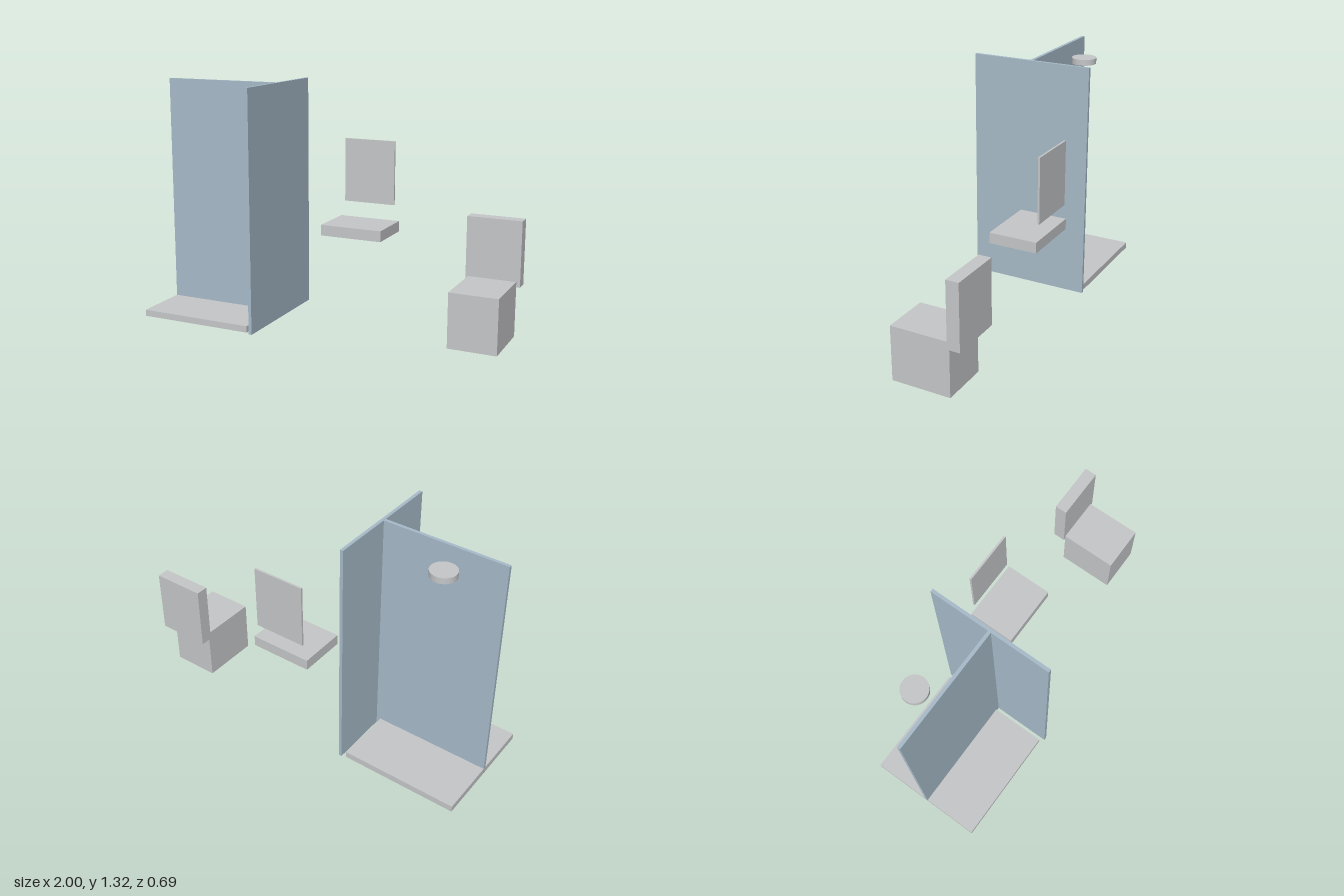
import * as THREE from 'three';

const ceramic = new THREE.MeshStandardMaterial({ name: 'light grey', color: 0xc6c7c9 });
const glass = new THREE.MeshStandardMaterial({ name: 'pale blue', color: 0xa7bbc9 });

// Box given by its lower and upper corner
function box(name, material, [x0, y0, z0], [x1, y1, z1]) {
  const mesh = new THREE.Mesh(new THREE.BoxGeometry(x1 - x0, y1 - y0, z1 - z0), material);
  mesh.position.set((x0 + x1) / 2, (y0 + y1) / 2, (z0 + z1) / 2);
  mesh.name = name;
  return mesh;
}

function group(name, ...parts) {
  const g = new THREE.Group();
  g.name = name;
  g.add(...parts);
  return g;
}

export function createModel() {
  // Shower: tray, two crossing panels and a round head
  const showerHead = new THREE.Mesh(new THREE.CylinderGeometry(0.07, 0.07, 0.033, 40), ceramic);
  showerHead.name = 'showerHead';
  showerHead.position.set(-0.73, 1.248, -0.125);
  const shower = group('shower',
    box('showerTray', ceramic, [-1, 0, -0.335], [-0.34, 0.036, 0.325]),
    box('middlePanel', glass, [-1, 0.002, -0.006], [-0.316, 1.322, 0.012]),
    box('sidePanel', glass, [-0.316, 0, -0.345], [-0.298, 1.323, 0.345]),
    showerHead);

  // Wash stand: basin slab with the mirror above it
  const washStand = group('washStand',
    box('basin', ceramic, [-0.08, 0.483, -0.332], [0.275, 0.543, -0.06]),
    box('mirror', ceramic, [-0.053, 0.633, -0.334], [0.247, 0.993, -0.323]));

  // Toilet: bowl with the cistern behind it
  const toilet = group('toilet',
    box('bowl', ceramic, [0.714, 0, -0.24], [0.98, 0.302, 0.09]),
    box('cistern', ceramic, [0.7, 0.273, -0.31], [1, 0.633, -0.24]));

  return group('bathroom', shower, washStand, toilet);
}
